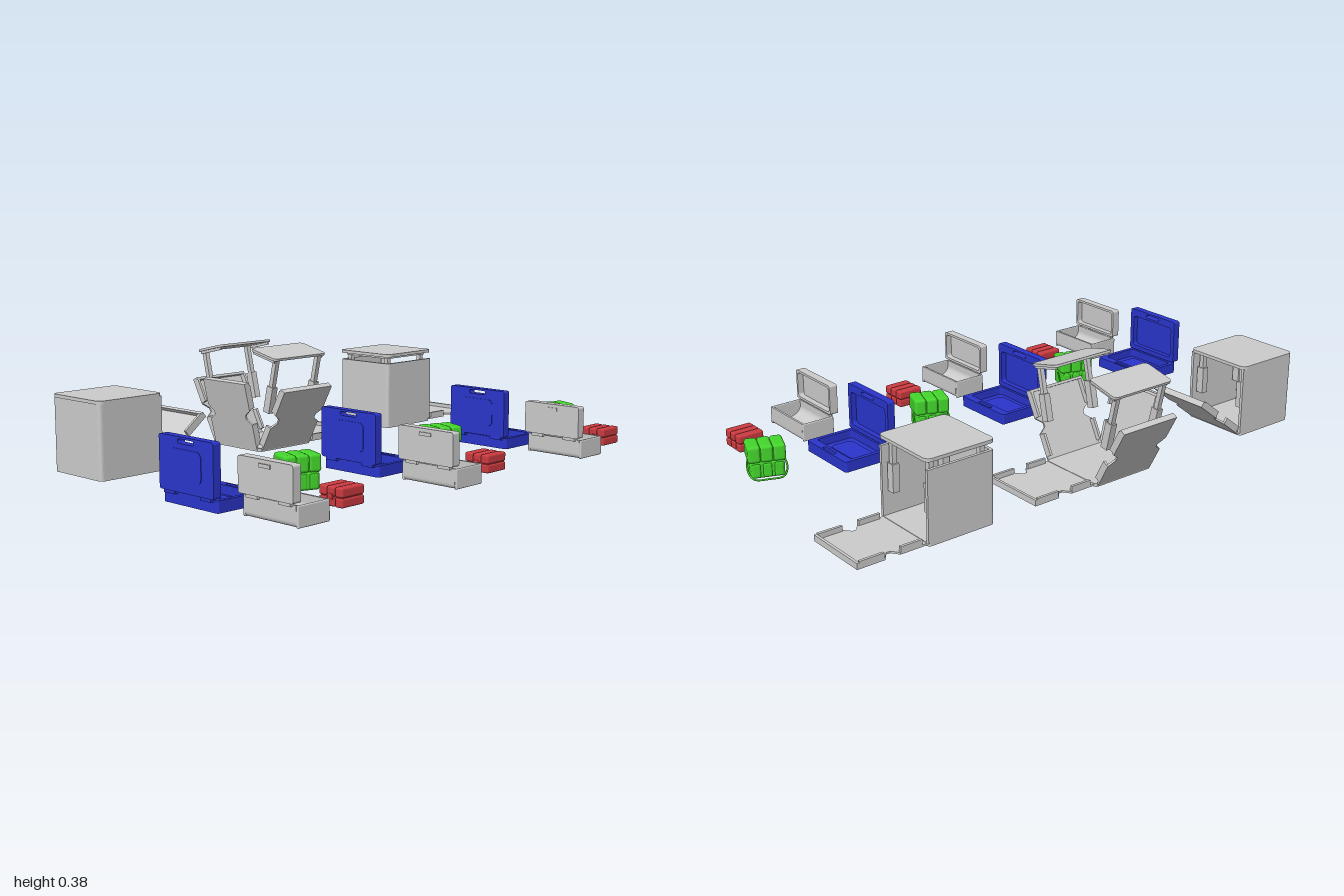
import * as THREE from 'three';
import { RoundedBoxGeometry } from 'three/addons/geometries/RoundedBoxGeometry.js';

const mat = (color) => new THREE.MeshStandardMaterial({ color, side: THREE.DoubleSide });
const GREY = mat(0xcccccc), BLUE = mat(0x2a35cc), GREEN = mat(0x44d62c), RED = mat(0xcc3b40);

function add(parent, name, geo, material, x = 0, y = 0, z = 0) {
  const m = new THREE.Mesh(geo, material);
  m.name = name;
  m.position.set(x, y, z);
  parent.add(m);
  return m;
}
function group(parent, name, x = 0, y = 0, z = 0) {
  const g = new THREE.Group();
  g.name = name;
  g.position.set(x, y, z);
  parent.add(g);
  return g;
}
const box = (w, h, d) => new THREE.BoxGeometry(w, h, d);
const soft = (w, h, d, r) => new RoundedBoxGeometry(w, h, d, 2, r);

// Rounded rectangle outline centred at (cx, cy)
function roundRect(w, h, r, cx = 0, cy = 0, S = THREE.Shape) {
  const s = new S(), a = w / 2 - r, b = h / 2 - r;
  s.absarc(cx + a, cy + b, r, 0, Math.PI / 2);
  s.absarc(cx - a, cy + b, r, Math.PI / 2, Math.PI);
  s.absarc(cx - a, cy - b, r, Math.PI, Math.PI * 1.5);
  s.absarc(cx + a, cy - b, r, Math.PI * 1.5, Math.PI * 2);
  s.closePath();
  return s;
}
// Extrude a plan outline upwards; outline +y points to -z
function rise(shape, h) {
  return new THREE.ExtrudeGeometry(shape, { depth: h, bevelEnabled: false, curveSegments: 5 }).rotateX(-Math.PI / 2);
}
const slab = (w, d, h, r) => rise(roundRect(w, d, r), h);

// Open tray: rim plus floor, optional grip slot near its -z edge
function tray(parent, name, material, w, d, h, wall, gripWall, slot) {
  const g = group(parent, name);
  const rim = roundRect(w, d, 0.008), floor = roundRect(w, d, 0.008);
  const innerD = d - wall - gripWall;
  rim.holes.push(roundRect(w - wall * 2, innerD, 0.012, 0, (wall - gripWall) / 2, THREE.Path));
  if (slot) {
    for (const s of [rim, floor]) s.holes.push(roundRect(0.075, 0.014, 0.005, 0, d / 2 - 0.014, THREE.Path));
  }
  add(g, 'rim', rise(rim, h), material);
  add(g, 'floor', rise(floor, 0.009), material);
  return g;
}

// Fold-down crate panel: notched sheet with a broken rim on its inner (+z) face
function panel(parent, name, angleY, tilt, w = 0.245) {
  const turn = group(parent, name);
  turn.rotation.y = angleY;
  const p = group(turn, name + 'Hinge', 0, 0.004, -0.132);
  p.rotation.x = -tilt;
  const a = w / 2, n = 0.028, h = 0.26;
  const s = new THREE.Shape([[-a, 0], [a, 0], [a, 0.1], [a - n, 0.12], [a - n, 0.135], [a, 0.157], [a, h],
    [-a, h], [-a, 0.157], [-a + n, 0.135], [-a + n, 0.12], [-a, 0.1]].map(([x, y]) => new THREE.Vector2(x, y)));
  add(p, 'sheet', new THREE.ExtrudeGeometry(s, { depth: 0.007, bevelEnabled: false }), GREY);
  for (const x of [-a + 0.005, a - 0.005]) {
    add(p, 'lowerRim', box(0.01, 0.082, 0.026), GREY, x, 0.058, 0.013);
    add(p, 'upperRim', box(0.01, 0.09, 0.026), GREY, x, 0.205, 0.013);
  }
  add(p, 'endRim', box(w, 0.01, 0.022), GREY, 0, h - 0.005, 0.011);
}

// Telescoping corner post: broad sleeve with a slimmer upper rod
function post(parent, x, z, base, top) {
  add(parent, 'postSleeve', box(0.03, 0.1, 0.026), GREY, x, base + 0.05, z);
  add(parent, 'postRod', box(0.018, top - base - 0.05, 0.018), GREY, x, (top + base + 0.05) / 2, z);
}

function closedCrate(parent, z, lidY, flapTilt) {
  const g = group(parent, 'crate', -0.403, 0, z);
  const o = 0.131, i = 0.12, r = 0.014;
  // Three walls in one rounded U, open at the back
  const s = new THREE.Shape();
  s.moveTo(-o, o);
  s.lineTo(-o, -o + r);
  s.quadraticCurveTo(-o, -o, -o + r, -o);
  s.lineTo(o - r, -o);
  s.quadraticCurveTo(o, -o, o, -o + r);
  s.lineTo(o, o);
  s.lineTo(i, o);
  s.lineTo(i, -i);
  s.lineTo(-i, -i);
  s.lineTo(-i, o);
  s.closePath();
  add(g, 'walls', rise(s, 0.252), GREY, 0, 0.01);
  add(g, 'floor', slab(0.262, 0.262, 0.012, 0.014), GREY);
  add(g, 'lid', slab(0.268, 0.268, 0.012, 0.022), GREY, 0, lidY);
  add(g, 'lidLip', slab(0.235, 0.235, 0.008, 0.015), GREY, 0, lidY - 0.008);
  for (const x of [-1, 1]) {
    for (const pz of [-1, 1]) post(g, x * 0.1, pz * 0.1, 0.1, lidY);
  }
  panel(g, 'backFlap', 0, flapTilt);
}

function unfoldedCrate(parent, z) {
  const g = group(parent, 'unfoldedCrate', -0.403, 0, z);
  add(g, 'floor', slab(0.262, 0.262, 0.012, 0.014), GREY);
  panel(g, 'backFlap', 0, Math.PI / 2);
  panel(g, 'frontWall', Math.PI, 0.23, 0.23);
  for (const side of [-1, 1]) {
    panel(g, 'sideWall', -side * Math.PI / 2, 0.49);
    // Leaning frame that carries half of the lid
    const f = group(g, 'lidFrame', side * 0.132, 0.01, 0);
    f.rotation.z = -side * 0.225;
    for (const pz of [-1, 1]) post(f, -side * 0.012, pz * 0.107, 0.14, 0.345);
    add(f, 'halfLid', slab(0.134, 0.266, 0.009, 0.016), GREY, -side * 0.062, 0.344, 0);
    for (const pz of [-1, 1]) add(f, 'halfLidLip', box(0.115, 0.012, 0.006), GREY, -side * 0.062, 0.34, pz * 0.122);
  }
}

function blueCase(parent, z) {
  const g = group(parent, 'openCase', 0.228, 0, z);
  const base = tray(g, 'caseBase', BLUE, 0.255, 0.196, 0.04, 0.016, 0.032, true);
  base.position.z = -0.009;
  add(base, 'pad', slab(0.15, 0.09, 0.008, 0.02), BLUE, 0, 0.009, 0.01);
  const lid = tray(g, 'caseLid', BLUE, 0.255, 0.175, 0.03, 0.018, 0.03, true);
  lid.position.set(0, 0.132, 0.105);
  lid.rotation.set(-Math.PI / 2, Math.PI, 0);
  add(lid, 'raisedPanel', slab(0.145, 0.1, 0.004, 0.02), BLUE, 0, -0.002, 0);
  for (const x of [-0.085, 0.085]) add(g, 'hinge', box(0.05, 0.016, 0.014), BLUE, x, 0.042, 0.095);
}

function toolbox(parent, z) {
  const g = group(parent, 'toolbox', 0.548, 0, z);
  // Trough with a round scoop inside and softened lower edges
  const s = new THREE.Shape();
  s.moveTo(-0.066, 0.068);
  s.lineTo(-0.066, 0.018);
  s.quadraticCurveTo(-0.066, 0, -0.048, 0);
  s.lineTo(0.048, 0);
  s.quadraticCurveTo(0.066, 0, 0.066, 0.018);
  s.lineTo(0.066, 0.068);
  s.lineTo(0.058, 0.068);
  s.lineTo(0.058, 0.045);
  s.absellipse(0, 0.045, 0.058, 0.038, 0, -Math.PI, true);
  s.lineTo(-0.058, 0.068);
  s.closePath();
  const trough = new THREE.ExtrudeGeometry(s, { depth: 0.22, bevelEnabled: false, curveSegments: 14 });
  add(g, 'trough', trough.translate(0, 0, -0.11).rotateY(Math.PI / 2), GREY);
  for (const x of [-0.113, 0.113]) add(g, 'endWall', soft(0.01, 0.068, 0.132, 0.004), GREY, x, 0.034, 0);
  const lid = tray(g, 'toolboxLid', GREY, 0.235, 0.115, 0.033, 0.009, 0.009, false);
  lid.position.set(0, 0.133, 0.086);
  lid.rotation.set(-Math.PI / 2, Math.PI, 0);
  add(g, 'latch', box(0.05, 0.012, 0.006), GREY, 0, 0.172, 0.087);
  for (const x of [-0.07, 0.07]) add(g, 'hinge', box(0.05, 0.014, 0.016), GREY, x, 0.07, 0.068);
}

function redBox(parent, z) {
  const g = group(parent, 'ribbedBox', 0.535, 0, z);
  add(g, 'core', box(0.092, 0.052, 0.09), RED, 0, 0.03, 0);
  for (const i of [-1, 0, 1]) {
    add(g, 'lowerRib', soft(0.033, 0.03, 0.1, 0.006), RED, i * 0.0345, 0.016, 0);
    add(g, 'upperRib', soft(0.033, 0.032, 0.102, 0.007), RED, i * 0.0345, 0.049, 0);
  }
  add(g, 'latch', box(0.022, 0.018, 0.006), RED, 0, 0.034, 0.05);
}

function cooler(parent, z) {
  const g = group(parent, 'cooler', 0.278, 0, z);
  g.rotation.y = -0.36;
  add(g, 'body', soft(0.086, 0.062, 0.122, 0.008), GREEN, 0, 0.031, 0);
  for (const i of [-1, 0, 1]) {
    add(g, 'bodyRib', soft(0.092, 0.054, 0.034, 0.008), GREEN, 0, 0.029, i * 0.04);
    add(g, 'lidLobe', soft(0.098, 0.062, 0.045, 0.011), GREEN, 0, 0.09, i * 0.044);
  }
  add(g, 'lidCore', box(0.088, 0.05, 0.12), GREEN, 0, 0.087, 0);
  // Bail handle dropped to one side
  const path = new THREE.CatmullRomCurve3([[-0.01, 0.055, -0.066], [-0.045, 0.03, -0.068], [-0.068, 0.01, -0.052],
    [-0.072, 0.007, 0], [-0.068, 0.01, 0.052], [-0.045, 0.03, 0.068], [-0.01, 0.055, 0.066]]
    .map((p) => new THREE.Vector3(...p)));
  add(g, 'handle', new THREE.TubeGeometry(path, 32, 0.0035, 6), GREEN);
}

export function createModel() {
  const model = new THREE.Group();
  model.name = 'supplyCrateSet';
  // Three rows of the same small cases
  for (const dz of [0, -0.718, -1.422]) {
    const row = group(model, 'caseRow', 0, 0, dz);
    blueCase(row, 0.892);
    toolbox(row, 0.88);
    redBox(row, 0.63);
    cooler(row, 0.57);
  }
  // Crates shown closed, unfolded, and with a raised lid
  closedCrate(model, 0.815, 0.26, 0.91);
  unfoldedCrate(model, 0.095);
  closedCrate(model, -0.608, 0.288, Math.PI / 2);
  return model;
}
